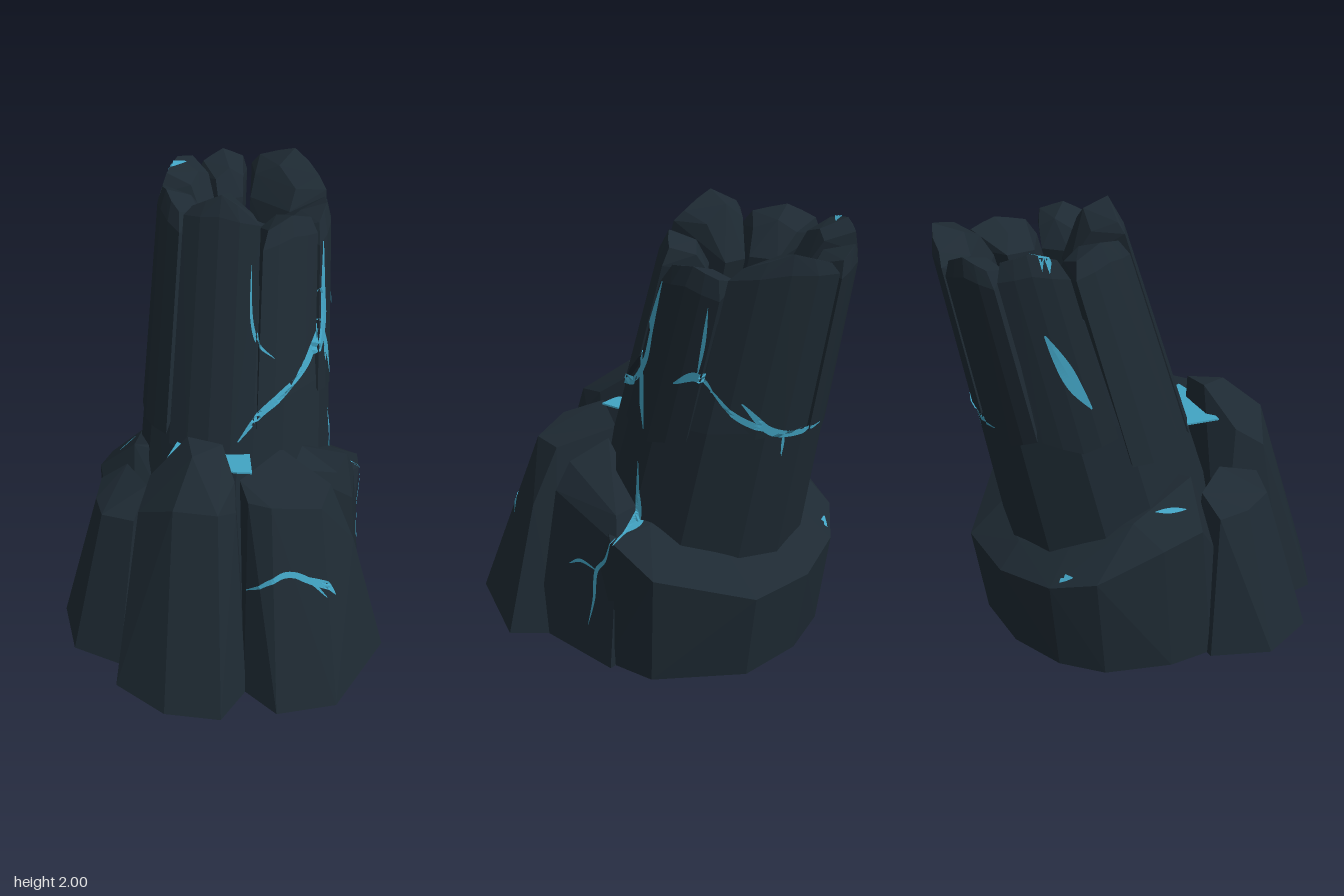
import * as THREE from 'three';
import { ConvexGeometry } from 'three/addons/geometries/ConvexGeometry.js';

const V = (p) => new THREE.Vector3(...p);
const D = Math.PI / 180;

// point on the leaning column: angle 0 faces the front, f scales the radius
function onColumn(deg, y, f = 1) {
  const t = (y - 0.5) / 1.4;
  return [
    0.02 + 0.03 * t + (0.45 - 0.08 * t) * f * Math.sin(deg * D), y,
    -0.13 - 0.36 * t + (0.485 - 0.095 * t) * f * Math.cos(deg * D),
  ];
}

export function createModel() {
  const group = new THREE.Group();
  const rock = new THREE.MeshStandardMaterial({ color: 0x1e2a33, flatShading: true });
  rock.name = 'dark slate';
  const glow = new THREE.MeshStandardMaterial({ color: 0x42a4c4, side: THREE.DoubleSide });
  glow.name = 'crystal blue';
  const rocks = [];

  function add(name, geometry, material) {
    const mesh = new THREE.Mesh(geometry, material);
    mesh.name = name;
    group.add(mesh);
    return mesh;
  }
  // faceted boulder: outline on the ground [x, z] and upper corners [x, y, z]
  function boulder(name, ground, upper) {
    const pts = [...ground.map(([x, z]) => V([x, 0, z])), ...upper.map(V)];
    rocks.push(add(name, new ConvexGeometry(pts), rock));
  }

  // leaning core of the stump
  const angles = [4, 32, 64, 88, 118, 150, 176, 206, 240, 268, 300, 332];
  const core = [[0.15, 1], [0.7, 1], [1.15, 1], [1.62, 0.91]]
    .flatMap(([y, f]) => angles.map((a) => onColumn(a, y, f)));
  boulder('columnCore', [], core);

  // broken slabs of the jagged rim: start, end, lower edge at start / middle / end,
  // highest y, bevel, inner radius
  const slabs = [
    [-40, 13, 0.92, 0.9, 0.92, 2.0, 0.07, 0.3],
    [15, 58, 1.04, 1.2, 1.38, 1.9, 0.04, 0.46],
    [61, 108, 1.1, 1.05, 1.1, 1.84, 0.03, 0.42],
    [110, 178, 1.38, 1.13, 1.14, 1.93, 0.06, 0.54],
    [181, 218, 1.1, 1.05, 1.1, 1.9, 0.04, 0.54],
    [221, 262, 1.1, 1.05, 1.1, 1.93, 0.03, 0.48],
    [265, 317, 0.95, 0.92, 0.95, 1.92, 0.04, 0.36],
  ];
  slabs.forEach(([a, b, lowA, lowMid, lowB, high, bevel, inner], i) => {
    const pts = [];
    for (let k = 0; k <= 4; k++) {
      const u = k / 4, ang = a + (b - a) * u;
      const side = Math.abs(u - 0.5) * 2;
      const low = lowMid + ((u < 0.5 ? lowA : lowB) - lowMid) * side;
      pts.push(onColumn(ang, low, 1.012));
      pts.push(onColumn(ang, high - 0.08 - 0.03 * side, 1.02));
      // top edge is narrower than the body
      const topAng = a + (b - a) * (0.5 + (u - 0.5) * 0.82);
      pts.push(onColumn(topAng, high - bevel * side, 0.97));
      pts.push(onColumn(topAng, high - 0.04 - bevel * side, 0.66));
      const innerAng = a + 3 + (b - a - 6) * u;
      pts.push(onColumn(innerAng, 1.45, inner), onColumn(innerAng, 1.74, inner + 0.03));
    }
    boulder('rimSlab' + (i + 1), [], pts);
  });

  // glowing crater with a rock floor
  for (const [name, y, f, mat] of [['craterGlow', 1.63, 0.66, glow], ['craterFloor', 1.64, 0.52, rock]]) {
    const pts = [0, 0.008].flatMap((h) => angles.map((a) => V(onColumn(a, y + h, f))));
    add(name, new ConvexGeometry(pts), mat);
  }

  // low collar around the back of the stump
  boulder('backBase',
    [[-0.59, 0], [-0.57, -0.2], [-0.45, -0.47], [-0.28, -0.6], [-0.02, -0.67], [0.28, -0.64],
      [0.58, -0.36], [0.61, -0.12], [0.55, 0.2], [0.1, 0.5], [-0.4, 0.4]],
    [[-0.59, 0.65, -0.06], [-0.56, 0.6, -0.24], [-0.47, 0.49, -0.52], [-0.3, 0.43, -0.65],
      [-0.02, 0.4, -0.73], [0.3, 0.41, -0.7], [0.61, 0.52, -0.4], [0.61, 0.62, -0.16],
      [-0.42, 0.82, 0], [-0.42, 0.69, -0.3], [-0.25, 0.55, -0.52], [0, 0.5, -0.62],
      [0.28, 0.54, -0.54], [0.46, 0.67, -0.25], [0.4, 0.7, 0.1]]);
  boulder('sideRock',
    [[0.62, 0.3], [0.635, -0.17], [0.2, 0.3], [0.2, -0.18]],
    [[0.34, 0.92, 0.1], [0.3, 0.9, 0.25], [0.5, 0.84, 0.18], [0.57, 0.72, 0.2],
      [0.55, 0.71, -0.14], [0.59, 0.6, -0.18], [0.43, 0.74, -0.18]]);

  // boulders leaning against the front
  boulder('frontCenterRock',
    [[-0.45, 0.55], [-0.45, 0.7], [-0.22, 0.86], [0.03, 0.88], [0.13, 0.7], [0.1, 0.3], [-0.4, 0.2]],
    [[-0.15, 1.07, 0.27], [0, 1.05, 0.29], [-0.12, 1.06, 0.4], [0.06, 0.95, 0.42],
      [-0.31, 0.9, 0.33], [-0.35, 0.8, 0.46], [-0.19, 0.9, 0.57], [0, 0.9, 0.59], [0.07, 0.85, 0.5]]);
  boulder('frontLeftRock',
    [[0.12, 0.7], [0.27, 0.83], [0.53, 0.76], [0.74, 0.36], [0.6, 0.2], [0.1, 0.2]],
    [[0.08, 0.93, 0.38], [0.25, 0.93, 0.14], [0.47, 0.86, 0.29], [0.43, 0.85, 0.45],
      [0.22, 0.88, 0.5], [0.12, 0.88, 0.47], [0.58, 0.6, 0.34]]);
  boulder('frontRightRock',
    [[-0.75, 0.22], [-0.67, 0.48], [-0.45, 0.57], [-0.3, 0.4], [-0.4, 0], [-0.62, -0.02]],
    [[-0.575, 0.66, 0.2], [-0.53, 0.68, 0.34], [-0.38, 0.7, 0.4], [-0.34, 0.76, 0.22],
      [-0.57, 0.66, 0.05], [-0.45, 0.74, 0.04]]);

  // glow in the gap between the stump and the front boulders
  const gap = [[-0.25, 0.28], [-0.2, 0.1], [0.1, 0.1], [0.13, 0.34], [0.06, 0.34]];
  add('gapGlow', new ConvexGeometry([0.935, 0.943].flatMap((y) => gap.map(([x, z]) => V([x, y, z])))), glow);

  // glowing crack: a tapering ribbon laid onto the rock, path given in the plane facing the axis
  const place = {
    x: (u, v, d) => [d, v, u],
    y: (u, v, d) => [u, d, v],
    z: (u, v, d) => [u, v, d],
  };
  const caster = new THREE.Raycaster();
  function crack(axis, sign, path, width) {
    const curve = new THREE.CatmullRomCurve3(path.map(([u, v]) => V([u, v, 0])), false, 'centripetal');
    const at = place[axis], dir = V(at(0, 0, -sign));
    const hit = (u, v) => {
      caster.set(V(at(u, v, sign * 4)), dir);
      const h = caster.intersectObjects(rocks, false)[0];
      return h ? h.point.addScaledVector(dir, -0.007) : null;
    };
    const rows = [], steps = 28, out = [];
    for (let i = 0; i <= steps; i++) {
      const p = curve.getPoint(i / steps), t = curve.getTangent(i / steps);
      const w = width * 0.5 * (0.12 + Math.sin(Math.PI * i / steps));
      rows.push([-1, 0, 1].map((s) => hit(p.x - t.y * w * s, p.y + t.x * w * s)));
    }
    for (let i = 0; i < steps; i++) {
      for (let j = 0; j < 2; j++) {
        const q = [rows[i][j], rows[i][j + 1], rows[i + 1][j], rows[i + 1][j + 1]];
        if (q.includes(null)) continue;
        // break the ribbon where it would bridge a gap in depth
        const depth = q.map((p) => p[axis]);
        if (Math.max(...depth) - Math.min(...depth) > 0.07) continue;
        for (const k of [0, 1, 2, 2, 1, 3]) out.push(...q[k].toArray());
      }
    }
    if (!out.length) return;
    const g = new THREE.BufferGeometry();
    g.setAttribute('position', new THREE.Float32BufferAttribute(out, 3));
    g.computeVertexNormals();
    add('glowingCrack', g, glow);
  }

  // model's left side
  crack('x', 1, [[-0.04, 1.24], [-0.12, 1.3], [-0.18, 1.4], [-0.21, 1.52], [-0.27, 1.74]], 0.055);
  crack('x', 1, [[-0.16, 1.42], [-0.18, 1.28], [-0.21, 1.1]], 0.03);
  crack('x', 1, [[-0.37, 1.35], [-0.48, 1.4], [-0.54, 1.34]], 0.035);
  crack('x', 1, [[-0.52, 1.37], [-0.62, 1.23], [-0.68, 1.18], [-0.74, 1.12]], 0.025);
  crack('x', 1, [[-0.53, 1.7], [-0.51, 1.55], [-0.48, 1.4]], 0.015);
  crack('x', 1, [[-0.175, 0.94], [-0.185, 0.8], [-0.19, 0.7], [-0.18, 0.61]], 0.025);
  crack('x', 1, [[-0.17, 0.63], [-0.13, 0.52], [-0.07, 0.44], [-0.06, 0.3], [-0.03, 0.16]], 0.018);
  crack('x', 1, [[0.1, 0.41], [0.03, 0.45], [-0.08, 0.44]], 0.014);
  crack('x', 1, [[0.59, 0.6], [0.57, 0.53], [0.55, 0.46]], 0.022);
  // front
  crack('z', 1, [[0.06, 1.0], [0.15, 1.11], [0.25, 1.18], [0.35, 1.25], [0.39, 1.38]], 0.036);
  crack('z', 1, [[0.1, 1.74], [0.11, 1.5], [0.14, 1.41], [0.21, 1.34]], 0.013);
  crack('z', 1, [[0.12, 0.49], [0.22, 0.57], [0.29, 0.6], [0.38, 0.57], [0.47, 0.48]], 0.024);
  // back and model's right side
  crack('z', -1, [[0.34, 1.3], [0.24, 1.17], [0.13, 1.125], [-0.05, 1.12]], 0.032);
  crack('z', -1, [[0.16, 1.13], [0.15, 1.02]], 0.012);
  crack('x', -1, [[-0.63, 1.6], [-0.57, 1.47], [-0.52, 1.36], [-0.46, 1.26]], 0.05);
  // collar and boulder tops
  crack('y', 1, [[0.42, -0.17], [0.48, -0.2], [0.55, -0.19]], 0.035);
  crack('y', 1, [[-0.36, -0.57], [-0.3, -0.61], [-0.22, -0.65]], 0.03);
  crack('y', 1, [[-0.44, -0.2], [-0.47, -0.14], [-0.5, -0.08]], 0.016);
  return group;
}
